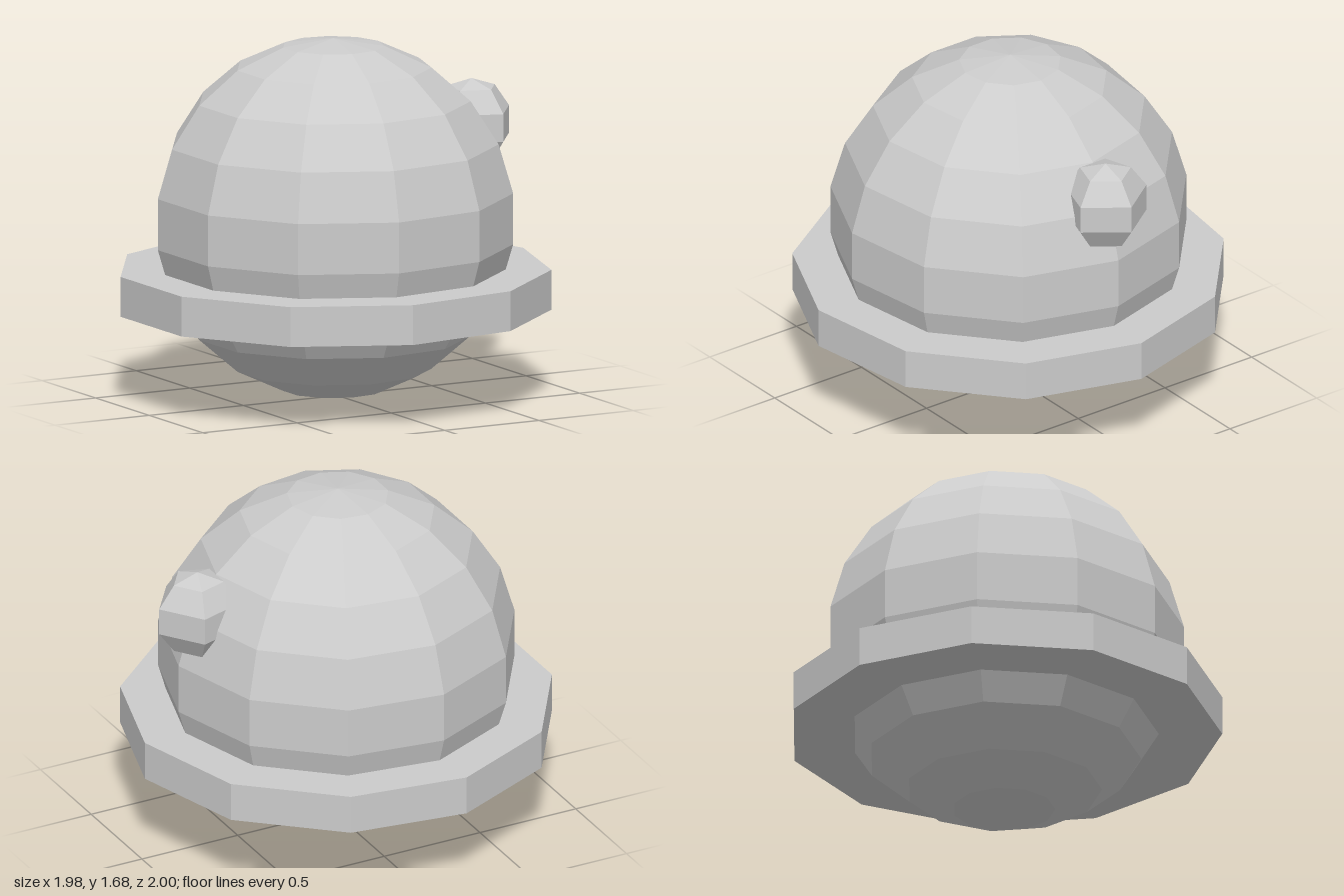
import * as THREE from 'three';

const material = new THREE.MeshStandardMaterial({ color: 0xcccccc, flatShading: true });

function addPart(group, name, geometry, x, y) {
  const mesh = new THREE.Mesh(geometry, material);
  mesh.name = name;
  mesh.position.set(x, y, 0);
  group.add(mesh);
}

// Low-poly ball with a corner pointing to +x
function ball(radius, segments) {
  return new THREE.SphereGeometry(radius, segments, segments).rotateY(Math.PI);
}

export function createModel() {
  const group = new THREE.Group();
  const sides = 11;
  const axisX = -0.023;

  // Main round body
  addPart(group, 'body', ball(0.84, sides), axisX, 0.842);

  // Flat disc around the lower half, corner pointing to +x
  const disc = new THREE.CylinderGeometry(1.008, 1.008, 0.187, sides, 1, false, Math.PI / 2);
  addPart(group, 'brim', disc, axisX, 0.511);

  // Small knob on the side
  addPart(group, 'knob', ball(0.21, 5), 0.71, 1.217);

  return group;
}
